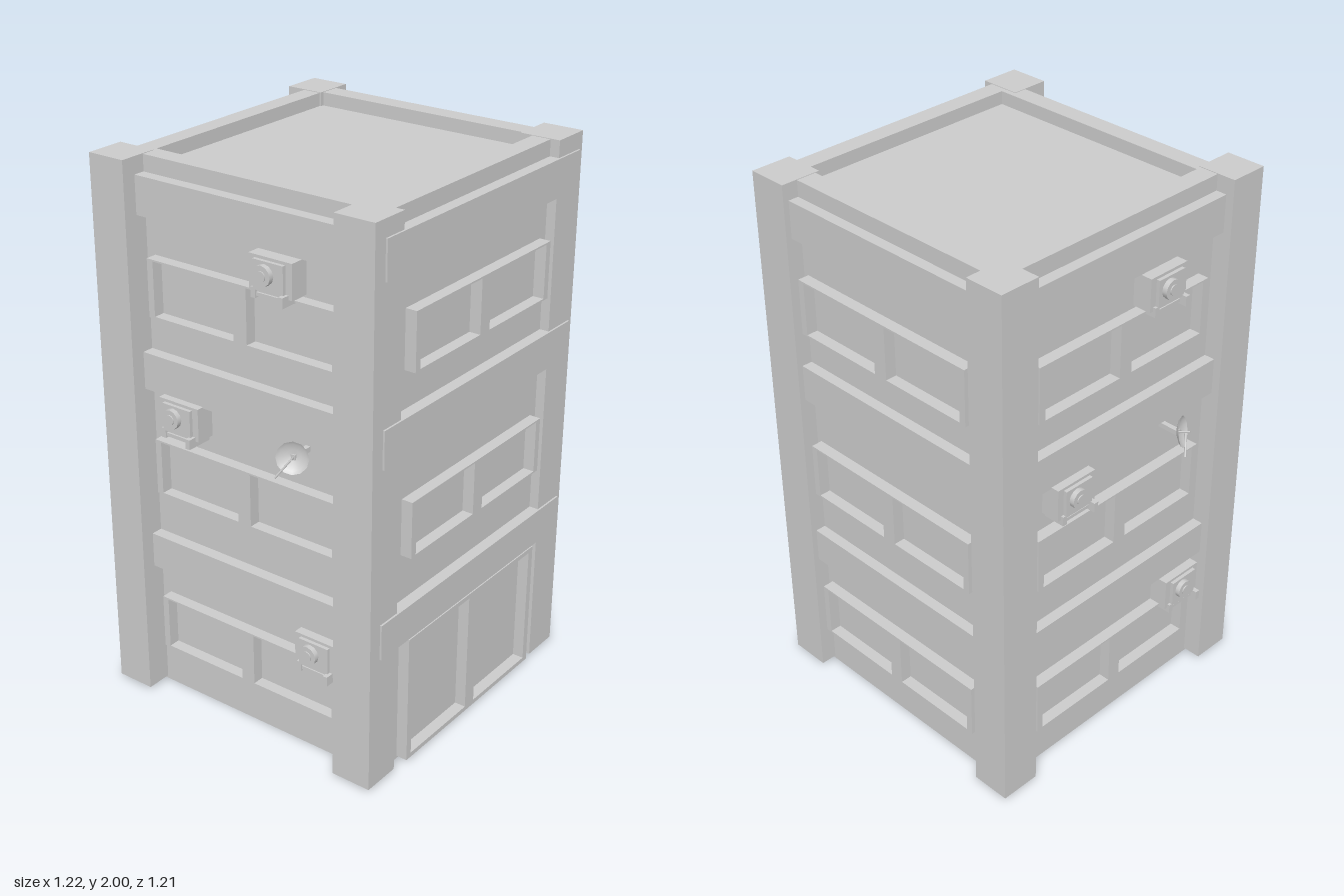
import * as THREE from 'three';

const mat = new THREE.MeshStandardMaterial({ color: 0xcccccc, side: THREE.DoubleSide });

function add(parent, name, geo, x = 0, y = 0, z = 0) {
  const m = new THREE.Mesh(geo, mat);
  m.name = name;
  m.position.set(x, y, z);
  parent.add(m);
  return m;
}

// Box given by its two extreme corners
function span(parent, name, x0, x1, y0, y1, z0, z1) {
  return add(parent, name, new THREE.BoxGeometry(x1 - x0, y1 - y0, z1 - z0),
    (x0 + x1) / 2, (y0 + y1) / 2, (z0 + z1) / 2);
}

function rect(S, x0, x1, y0, y1) {
  const s = new S();
  s.moveTo(x0, y0).lineTo(x1, y0).lineTo(x1, y1).lineTo(x0, y1).closePath();
  return s;
}

// Two-pane frame standing out from the wall (wall plane at z = 0)
function paneFrame(parent, name, y0, y1, edge) {
  const s = rect(THREE.Shape, -0.39, 0.39, y0, y1);
  s.holes.push(rect(THREE.Path, -0.365, -0.027, y0 + edge, y1 - edge));
  s.holes.push(rect(THREE.Path, 0.027, 0.365, y0 + edge, y1 - edge));
  add(parent, name, new THREE.ExtrudeGeometry(s, { depth: 0.042, bevelEnabled: false }));
}

// Wall-mounted cooling unit: body, round fan, knob and bracket tray below
function coolingUnit(x, y) {
  const g = new THREE.Group();
  g.name = 'coolingUnit';
  span(g, 'unitBack', -0.085, 0.085, -0.055, 0.065, 0, 0.07);
  span(g, 'unitFace', -0.06, 0.06, -0.045, 0.055, 0.07, 0.083);
  const fan = add(g, 'unitFan', new THREE.CylinderGeometry(0.035, 0.035, 0.022, 12), -0.012, 0.012, 0.09);
  fan.rotation.x = Math.PI / 2;
  const hub = add(g, 'fanHub', new THREE.CylinderGeometry(0.018, 0.018, 0.006, 12), -0.012, 0.012, 0.102);
  hub.rotation.x = Math.PI / 2;
  for (const s of [-1, 1])
    span(g, 'unitBracket', s * 0.062 - 0.009, s * 0.062 + 0.009, -0.075, -0.04, 0, s > 0 ? 0.1 : 0.08);
  for (let i = 0; i < 4; i++)
    span(g, 'traySlat', -0.055, 0.055, -0.068, -0.056, 0.005 + i * 0.02, 0.015 + i * 0.02);
  g.position.set(x, y, 0);
  return g;
}

// Small dish turned to one side, with a feed rod and a wall arm
function dish(x, y) {
  const g = new THREE.Group();
  g.name = 'dish';
  span(g, 'dishArm', -0.009, 0.009, -0.009, 0.009, 0, 0.08);
  const head = new THREE.Group();
  head.name = 'dishHead';
  const pts = [[0, 0], [0.025, 0.004], [0.045, 0.012], [0.055, 0.02]].map(p => new THREE.Vector2(...p));
  add(head, 'dishBowl', new THREE.LatheGeometry(pts, 12)).rotation.x = Math.PI / 2;
  add(head, 'feedRod', new THREE.CylinderGeometry(0.004, 0.004, 0.045, 6), 0, 0, 0.022).rotation.x = Math.PI / 2;
  const strut = add(head, 'feedStrut', new THREE.CylinderGeometry(0.004, 0.004, 0.08, 6), -0.028, -0.035, 0.03);
  strut.rotation.z = -0.67;
  head.rotation.set(-0.2, 0.47, 0, 'YXZ');
  head.position.z = 0.075;
  g.add(head);
  g.position.set(x, y, 0);
  return g;
}

export function createModel() {
  const model = new THREE.Group();
  model.name = 'towerBlock';

  // Core and recessed roof with a raised rim
  span(model, 'core', -0.475, 0.545, 0, 1.95, -0.475, 0.55);
  const rimShape = rect(THREE.Shape, -0.475, 0.545, -0.55, 0.475);
  rimShape.holes.push(rect(THREE.Path, -0.405, 0.47, -0.48, 0.405));
  const rim = add(model, 'roofRim',
    new THREE.ExtrudeGeometry(rimShape, { depth: 0.05, bevelEnabled: false }), 0, 1.948, 0);
  rim.rotation.x = -Math.PI / 2;

  // Corner pillars
  for (const [x0, x1] of [[-0.57, -0.425], [0.455, 0.605]])
    for (const [z0, z1] of [[-0.545, -0.4], [0.435, 0.585]])
      span(model, 'cornerPillar', x0, x1, 0.01, 2, z0, z1);

  // Floor bands running round the block
  for (const [y0, y1] of [[0.5, 0.63], [1.19, 1.325], [1.805, 1.94]])
    span(model, 'floorBand', -0.518, 0.584, y0, y1, -0.515, 0.592);

  // Four facades: position of wall centre, turn, and fittings (x, y) seen from outside
  const facades = [
    { name: 'front', pos: [0.03, 0, 0.55], turn: 0, units: [], dishes: [] },
    { name: 'right', pos: [0.545, 0, 0.025], turn: Math.PI / 2, units: [], dishes: [] },
    { name: 'back', pos: [0.03, 0, -0.475], turn: Math.PI,
      units: [[0.157, 1.73], [-0.247, 1.13], [0.32, 0.43]], dishes: [[0.238, 1.15]] },
    { name: 'left', pos: [-0.475, 0, 0.025], turn: -Math.PI / 2,
      units: [[0.15, 1.73], [-0.252, 1.13], [0.318, 0.43]], dishes: [[0.238, 1.15]] },
  ];
  for (const f of facades) {
    const wall = new THREE.Group();
    wall.name = f.name + 'Facade';
    wall.position.set(...f.pos);
    wall.rotation.y = f.turn;
    paneFrame(wall, 'windowFrame', 1.46, 1.665, 0.006);
    paneFrame(wall, 'windowFrame', 0.805, 1.01, 0.006);
    if (f.name === 'front') paneFrame(wall, 'doorFrame', 0.01, 0.495, 0.017);
    else paneFrame(wall, 'windowFrame', 0.18, 0.385, 0.006);
    for (const u of f.units) wall.add(coolingUnit(...u));
    for (const d of f.dishes) wall.add(dish(...d));
    model.add(wall);
  }
  return model;
}
